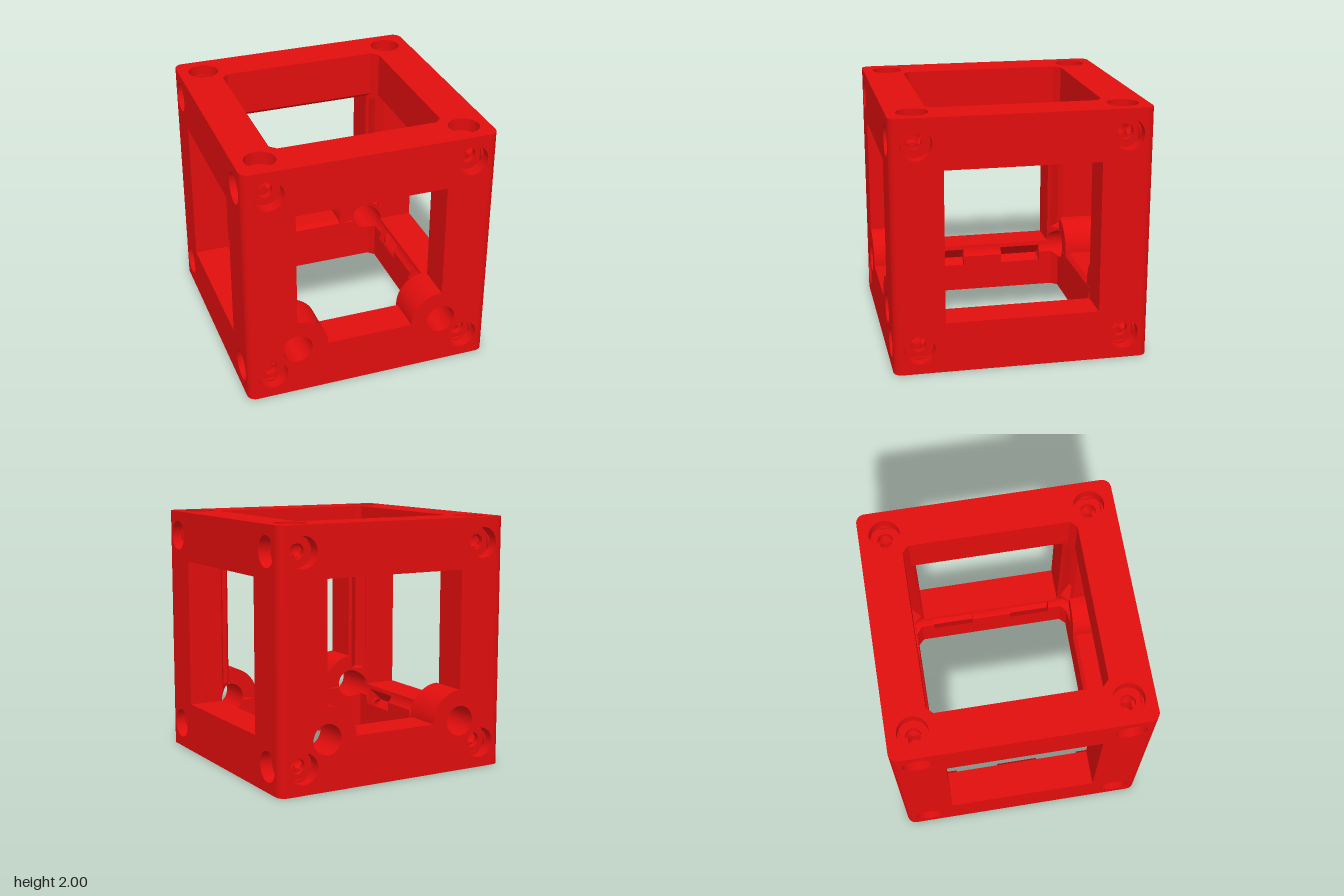
import * as THREE from 'three';
import { toCreasedNormals } from 'three/addons/utils/BufferGeometryUtils.js';

const material = new THREE.MeshStandardMaterial({ color: 0xe00d0d, side: THREE.DoubleSide });
const PI = Math.PI;

function add(parent, name, geometry) {
  const mesh = new THREE.Mesh(geometry, material);
  mesh.name = name;
  parent.add(mesh);
}

function arc(cx, cy, r, a0, a1, n = 20) {
  return Array.from({ length: n + 1 }, (_, i) => {
    const a = a0 + (a1 - a0) * i / n;
    return [cx + r * Math.cos(a), cy + r * Math.sin(a)];
  });
}
const circle = (cx, cy, r) => arc(cx, cy, r, 0, 2 * PI, 40);
const rect = (x0, y0, x1, y1) => [[x0, y0], [x1, y0], [x1, y1], [x0, y1]];

// Ruled surface between two rows of 3D points
function loft(a, b) {
  const pos = [];
  for (let i = 0; i + 1 < a.length; i++) {
    pos.push(...a[i], ...a[i + 1], ...b[i + 1], ...a[i], ...b[i + 1], ...b[i]);
  }
  const g = new THREE.BufferGeometry();
  g.setAttribute('position', new THREE.Float32BufferAttribute(pos, 3));
  return toCreasedNormals(g, 0.6);
}

// Flat outline with holes, placed in space by a mapping
function sheet(outline, holes, map) {
  const v = pts => pts.map(p => new THREE.Vector2(...p));
  const shape = new THREE.Shape(v(outline));
  shape.holes = holes.map(h => new THREE.Path(v(h)));
  const g = new THREE.ShapeGeometry(shape);
  const pos = g.attributes.position;
  for (let i = 0; i < pos.count; i++) pos.setXYZ(i, ...map(pos.getX(i), pos.getY(i)));
  g.computeVertexNormals();
  return g;
}

// Counterbored screw hole; place(p, q, depth) gives the position in space
function screwHole(parent, p, q, place, open) {
  const ring = (r, d) => circle(p, q, r).map(c => place(c[0], c[1], d));
  add(parent, 'counterbore', loft(ring(0.12, 0), ring(0.12, 0.1)));
  add(parent, 'screwSeat', loft(ring(0.12, 0.1), ring(0.06, 0.1)));
  add(parent, 'screwBore', loft(ring(0.06, 0.1), ring(0.06, 0.15)));
  const end = open ? 0.48 : 0.4;
  add(parent, 'screwBore', loft(ring(0.06, 0.25), ring(0.06, end)));
  if (!open) add(parent, 'screwBoreEnd', sheet(circle(p, q, 0.06), [], (x, y) => place(x, y, end)));
}

// Everything inside one quarter of the frame (x > 0, z > 0)
function createQuarter() {
  const g = new THREE.Group();
  g.name = 'frameQuarter';
  const at = (pts, z) => pts.map(([x, y]) => [x, y, z]);

  // Rounded outer edge
  const edge = arc(0.93, 0.93, 0.07, 0, PI / 2, 10);
  add(g, 'roundedEdge', loft(edge.map(([x, z]) => [x, 0, z]), edge.map(([x, z]) => [x, 2, z])));

  // Screw holes on the three faces, top and bottom
  for (const y of [0.2, 1.8]) {
    screwHole(g, 0.8, y, (p, q, d) => [p, q, 1 - d], y < 1);
    screwHole(g, 0.8, y, (p, q, d) => [1 - d, q, p], false);
    screwHole(g, 0.8, 0.8, (p, q, d) => [p, y < 1 ? d : 2 - d, q], false);
  }

  // Top beams: inner face and bevel, on the front and the side
  for (const m of [(x, y, z) => [x, y, z], (x, y, z) => [z, y, x]]) {
    add(g, 'topBeamInside', loft(
      [m(0, 2, 0.68), m(0, 1.63, 0.68), m(0, 1.6, 0.71)],
      [m(0.63, 2, 0.68), m(0.63, 1.63, 0.68), m(0.6, 1.6, 0.71)]));
  }

  // Front bottom beam: inner face notched by the rod bore, and bevel
  add(g, 'bottomBeamInside', sheet(
    [[0, 0], [0.63, 0], ...arc(0.6, 0.4, 0.12, -1.318, -2.889), [0, 0.37]], [], (x, y) => [x, y, 0.68]));
  add(g, 'bottomBeamBevel', loft([[0, 0.37, 0.68], [0.484, 0.37, 0.68]], [[0, 0.4, 0.71], [0.48, 0.4, 0.71]]));

  // Post: slanted inner face with a vertical groove
  const slant = (x, y) => [x, y, 1.31 - x];
  const groove = rect(0.62, 0.54, 0.69, 1.58);
  const deep = (x, y) => [x + 0.095, y, 1.405 - x];
  add(g, 'postInside', sheet([[0.63, 2], [0.68, 2], [0.68, 1.63], [0.71, 1.6],
    ...arc(0.6, 0.4, 0.12, 0.411, PI / 2), [0.6, 1.6], [0.63, 1.63]], [groove], slant));
  add(g, 'postFoot', sheet([[0.63, 0], [0.68, 0],
    ...arc(0.6, 0.4, 0.12, -0.841, -1.318, 6)], [], slant));
  const loop = [...groove, groove[0]];
  add(g, 'postGrooveWalls', loft(loop.map(p => slant(...p)), loop.map(p => deep(...p))));
  add(g, 'postGrooveFloor', sheet(groove, [], deep));

  // Rod socket: bore and the quarter collar standing in the window
  const bore = circle(0.6, 0.4, 0.12);
  add(g, 'rodBore', loft(at(bore, 1),
    bore.map(([x, y]) => [x, y, x > 0.6 ? Math.min(0.68, 1.31 - x) : 0.68])));
  const collar = r => arc(0.6, 0.4, r, PI / 2, PI + 0.12);
  add(g, 'rodCollar', loft(at(collar(0.25), 1), at(collar(0.25), 0.68)));
  add(g, 'rodCollarEnd', loft(at(collar(0.12), 0.68), at(collar(0.25), 0.68)));

  // Side bottom beam: hollowed by the rod bore, with a slanted pocket near each end
  const plain = [[0.68, 0], ...arc(0.6, 0.4, 0.12, -0.841, 0, 12)];
  const pocket = [[0.68, 0.235], [0.7425, 0.1725], [0.8275, 0.2575], [0.714, 0.365]];
  const pocketed = [[0.68, 0], ...pocket, [0.72, 0.4]];
  for (const [profile, z0, z1] of [[plain, 0, 0.17], [pocketed, 0.17, 0.52], [plain, 0.52, 0.63]]) {
    add(g, 'sideBeamInside', loft(at(profile, z0), at(profile, z1)));
  }
  const tunnel = arc(0.785, 0.215, 0.06, -0.75 * PI, -1.75 * PI, 12);
  const capEdge = [[0.68, 0.235], ...tunnel, [0.714, 0.365]];
  // Half-round channel joining the pockets, and the pocket ends around it
  const channel = tunnel.map(([x, y]) => [x, y]);
  add(g, 'wireChannel', loft(at([...channel, channel[0]], 0), at([...channel, channel[0]], 0.17)));
  for (const z of [0.17, 0.52]) add(g, 'pocketEnd', sheet(capEdge, [], (x, y) => [x, y, z]));
  return g;
}

export function createModel() {
  const model = new THREE.Group();
  model.name = 'cubeFrame';
  const corners = [];
  for (const a of [-0.8, 0.8]) for (const b of [0.2, 1.8]) corners.push(circle(a, b, 0.12));

  // Windows: the front one bends around the rod collars
  const sideWindow = rect(-0.6, 0.4, 0.6, 1.6);
  const frontWindow = [...arc(0.6, 0.4, 0.25, PI, PI / 2), [0.6, 1.6], [-0.6, 1.6],
    ...arc(-0.6, 0.4, 0.25, PI / 2, 0)];
  const bores = [circle(0.6, 0.4, 0.12), circle(-0.6, 0.4, 0.12)];
  const face = rect(-0.93, 0, 0.93, 2);

  for (const s of [-1, 1]) {
    // Front and back faces with window reveals
    const front = (d = 0) => (x, y) => [s * x, y, s * (1 - d)];
    add(model, 'frontBackFace', sheet(face, [frontWindow, ...bores, ...corners], front()));
    const fw = [...frontWindow, frontWindow[0]];
    add(model, 'frontBackReveal', loft(fw.map(p => front()(...p)), fw.map(p => front(0.29)(...p))));

    // Side faces with window reveals
    const side = (d = 0) => (x, y) => [s * (1 - d), y, -s * x];
    add(model, 'sideFace', sheet(face, [sideWindow, ...corners], side()));
    const sw = [...sideWindow, sideWindow[0]];
    add(model, 'sideReveal', loft(sw.map(p => side()(...p)), sw.map(p => side(0.285)(...p))));

    // Top and bottom faces
    const outline = [], opening = [];
    [[1, 1], [-1, 1], [-1, -1], [1, -1]].forEach(([x, z], i) => {
      outline.push(...arc(0.93 * x, 0.93 * z, 0.07, i * PI / 2, (i + 1) * PI / 2, 10));
      const cut = [[0.68 * x, 0.63 * z], [0.63 * x, 0.68 * z]];
      opening.push(...(i % 2 ? cut.reverse() : cut));
    });
    const holes = [0.8, -0.8].flatMap(x => [0.8, -0.8].map(z => circle(x, z, 0.12)));
    add(model, s > 0 ? 'topFace' : 'bottomFace',
      sheet(outline, [opening, ...holes], (x, z) => [x, 1 + s, -s * z]));
  }

  // Inner details mirrored into all four quarters
  const quarter = createQuarter();
  for (const x of [1, -1]) for (const z of [1, -1]) {
    const copy = quarter.clone();
    copy.scale.set(x, 1, z);
    model.add(copy);
  }
  return model;
}
